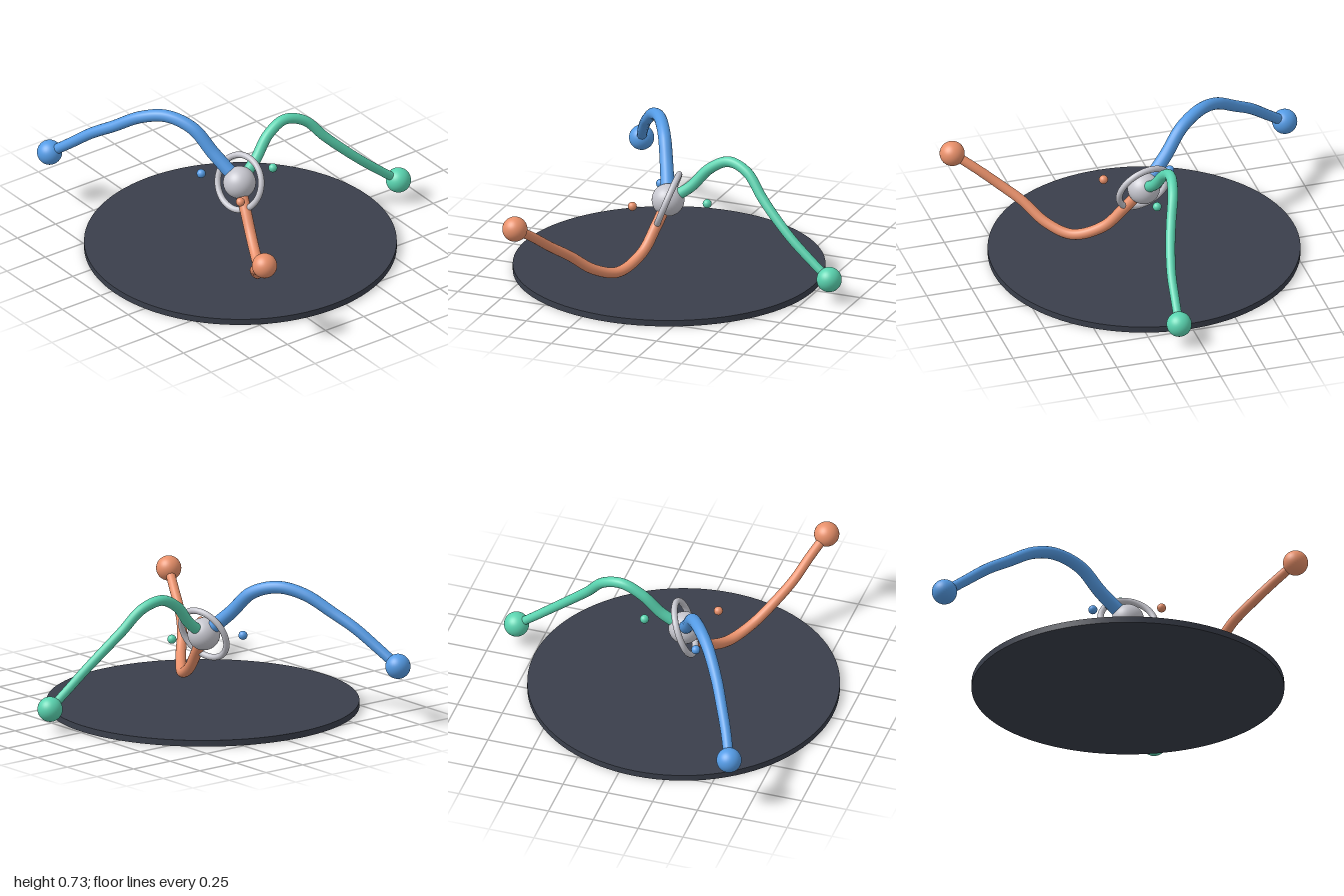
import * as THREE from 'three';

const CENTER = [0.016, 0.395, 0.1];

function material(color) {
  return new THREE.MeshStandardMaterial({ color });
}

function addMesh(parent, name, geometry, mat, position = [0, 0, 0]) {
  const mesh = new THREE.Mesh(geometry, mat);
  mesh.name = name;
  mesh.position.set(...position);
  parent.add(mesh);
  return mesh;
}

// Tube along a smooth path whose radius shrinks from start to end
function taperedTube(points, r0, r1) {
  const curve = new THREE.CatmullRomCurve3(points.map(p => new THREE.Vector3(...p)));
  const segments = 96, sides = 16;
  const geometry = new THREE.TubeGeometry(curve, segments, 1, sides);
  const pos = geometry.attributes.position;
  const v = new THREE.Vector3();
  for (let i = 0; i <= segments; i++) {
    const c = curve.getPointAt(i / segments);
    const r = THREE.MathUtils.lerp(r0, r1, i / segments);
    for (let j = 0; j <= sides; j++) {
      const k = i * (sides + 1) + j;
      v.fromBufferAttribute(pos, k).sub(c).multiplyScalar(r).add(c);
      pos.setXYZ(k, v.x, v.y, v.z);
    }
  }
  return geometry;
}

// Each arm: colour, start and end radius, orbiting bead, path from hub to tip
const ARMS = [
  {
    name: 'blueArm', color: 0x559ce6, r0: 0.038, r1: 0.027, bead: [-0.165, 0.405, 0.22],
    path: [[-0.125, 0.53, 0.168], [-0.23, 0.65, 0.225], [-0.355, 0.695, 0.303],
      [-0.473, 0.665, 0.39], [-0.606, 0.575, 0.48], [-0.713, 0.505, 0.54],
      [-0.82, 0.415, 0.6], [-0.935, 0.322, 0.655]],
  },
  {
    name: 'orangeArm', color: 0xe8906a, r0: 0.031, r1: 0.025, bead: [0.2, 0.405, 0.228],
    path: [[0.115, 0.27, 0.13], [0.22, 0.155, 0.165], [0.37, 0.092, 0.235],
      [0.49, 0.135, 0.325], [0.595, 0.235, 0.42], [0.7, 0.315, 0.488],
      [0.81, 0.4, 0.54], [0.927, 0.482, 0.597]],
  },
  {
    name: 'greenArm', color: 0x5ad4b0, r0: 0.031, r1: 0.023, bead: [0.01, 0.405, -0.123],
    path: [[-0.008, 0.48, -0.02], [-0.03, 0.59, -0.12], [-0.033, 0.645, -0.23],
      [-0.01, 0.61, -0.345], [0.03, 0.5, -0.445], [0.057, 0.425, -0.52],
      [0.09, 0.31, -0.645], [0.105, 0.205, -0.77], [0.115, 0.125, -0.87]],
  },
];

export function createModel() {
  const model = new THREE.Group();
  const grey = material(0xc6c6ce);

  // Thin round base
  addMesh(model, 'baseDisc', new THREE.CylinderGeometry(0.83, 0.83, 0.034, 96),
    material(0x3a3f4b), [0.016, 0.017, 0.094]);

  // Hub with a tilted ring around it
  addMesh(model, 'hub', new THREE.SphereGeometry(0.087, 40, 28), grey, CENTER);
  const ring = addMesh(model, 'hubRing', new THREE.TorusGeometry(0.147, 0.017, 16, 72), grey, CENTER);
  ring.quaternion.setFromUnitVectors(
    new THREE.Vector3(0, 0, 1), new THREE.Vector3(0.22, 0.4, 1).normalize());

  // Three curved arms with ball tips and small floating beads
  for (const { name, color, r0, r1, bead, path } of ARMS) {
    const arm = new THREE.Group();
    arm.name = name;
    const mat = material(color);
    addMesh(arm, 'armTube', taperedTube([CENTER, ...path], r0, r1), mat);
    addMesh(arm, 'armTip', new THREE.SphereGeometry(0.067, 32, 24), mat, path[path.length - 1]);
    addMesh(arm, 'bead', new THREE.SphereGeometry(0.024, 20, 14), mat, bead);
    model.add(arm);
  }
  return model;
}
